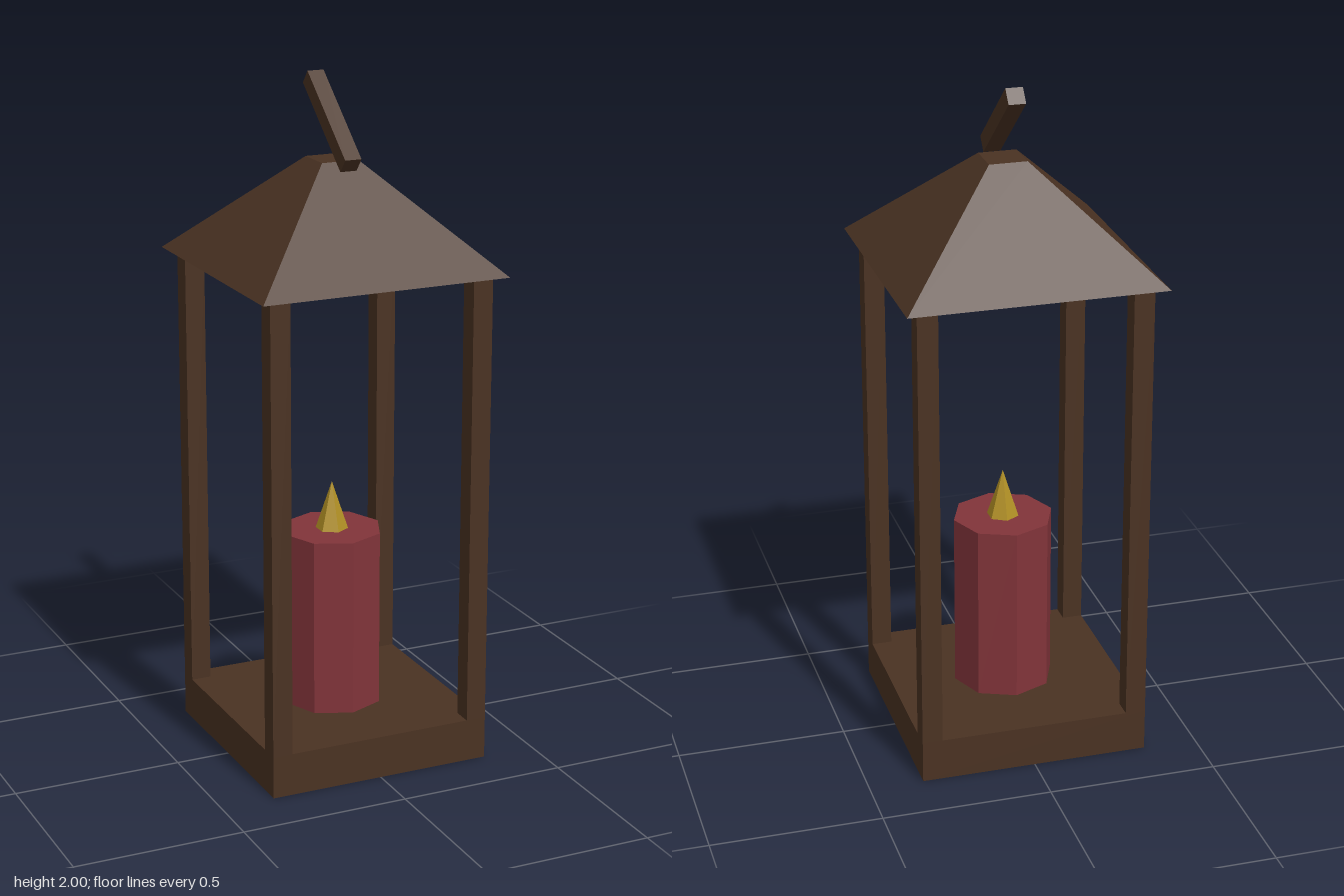
import * as THREE from 'three';

const wood = new THREE.MeshStandardMaterial({ color: 0x4a3222, flatShading: true, side: THREE.DoubleSide });
const wax = new THREE.MeshStandardMaterial({ color: 0x82343a, flatShading: true });
const fire = new THREE.MeshStandardMaterial({ color: 0xb08f24, flatShading: true });

const BASE_TOP = 0.127, ROOF_Y = 1.466, ROOF_TOP = 1.768;
const CANDLE_TOP = 0.661, FLAME_TOP = 0.805;

export function createModel() {
  const lantern = new THREE.Group();
  lantern.name = 'lantern';

  const add = (name, geometry, material, x, y, z) => {
    const mesh = new THREE.Mesh(geometry, material);
    mesh.name = name;
    mesh.position.set(x, y, z);
    lantern.add(mesh);
    return mesh;
  };

  // Base: a thin shell, open underneath (the fourth box face is the bottom)
  const baseGeometry = new THREE.BoxGeometry(0.68, BASE_TOP, 0.68);
  const faces = Array.from(baseGeometry.index.array);
  faces.splice(18, 6);
  baseGeometry.setIndex(faces);
  baseGeometry.clearGroups();
  add('base', baseGeometry, wood, 0, BASE_TOP / 2, 0);

  // Four corner posts, flush with the base
  const postHeight = ROOF_Y - BASE_TOP;
  const postGeometry = new THREE.BoxGeometry(0.06, postHeight, 0.06);
  for (const [sx, xName] of [[1, 'Left'], [-1, 'Right']]) {
    for (const [sz, zName] of [[1, 'front'], [-1, 'back']]) {
      add(`${zName}${xName}Post`, postGeometry, wood, sx * 0.31, BASE_TOP + postHeight / 2, sz * 0.31);
    }
  }

  // Roof: a truncated square pyramid
  const roofGeometry = new THREE.CylinderGeometry(
    0.056 * Math.SQRT2, 0.375 * Math.SQRT2, ROOF_TOP - ROOF_Y, 4);
  roofGeometry.rotateY(Math.PI / 4);
  add('roof', roofGeometry, wood, 0, (ROOF_Y + ROOF_TOP) / 2, 0);

  // Slanted handle bar, its front end low
  const handle = add('handle', new THREE.BoxGeometry(0.05, 0.05, 0.33), wood, 0, 1.875, 0);
  handle.rotation.x = 0.695;

  // Octagonal candle, just clear of the floor, and its flame
  const candleBottom = BASE_TOP + 0.001;
  add('candle', new THREE.CylinderGeometry(0.15, 0.15, CANDLE_TOP - candleBottom, 8),
    wax, 0, (CANDLE_TOP + candleBottom) / 2, 0);
  add('flame', new THREE.ConeGeometry(0.048, FLAME_TOP - CANDLE_TOP, 6),
    fire, 0, (FLAME_TOP + CANDLE_TOP) / 2, 0);

  return lantern;
}
